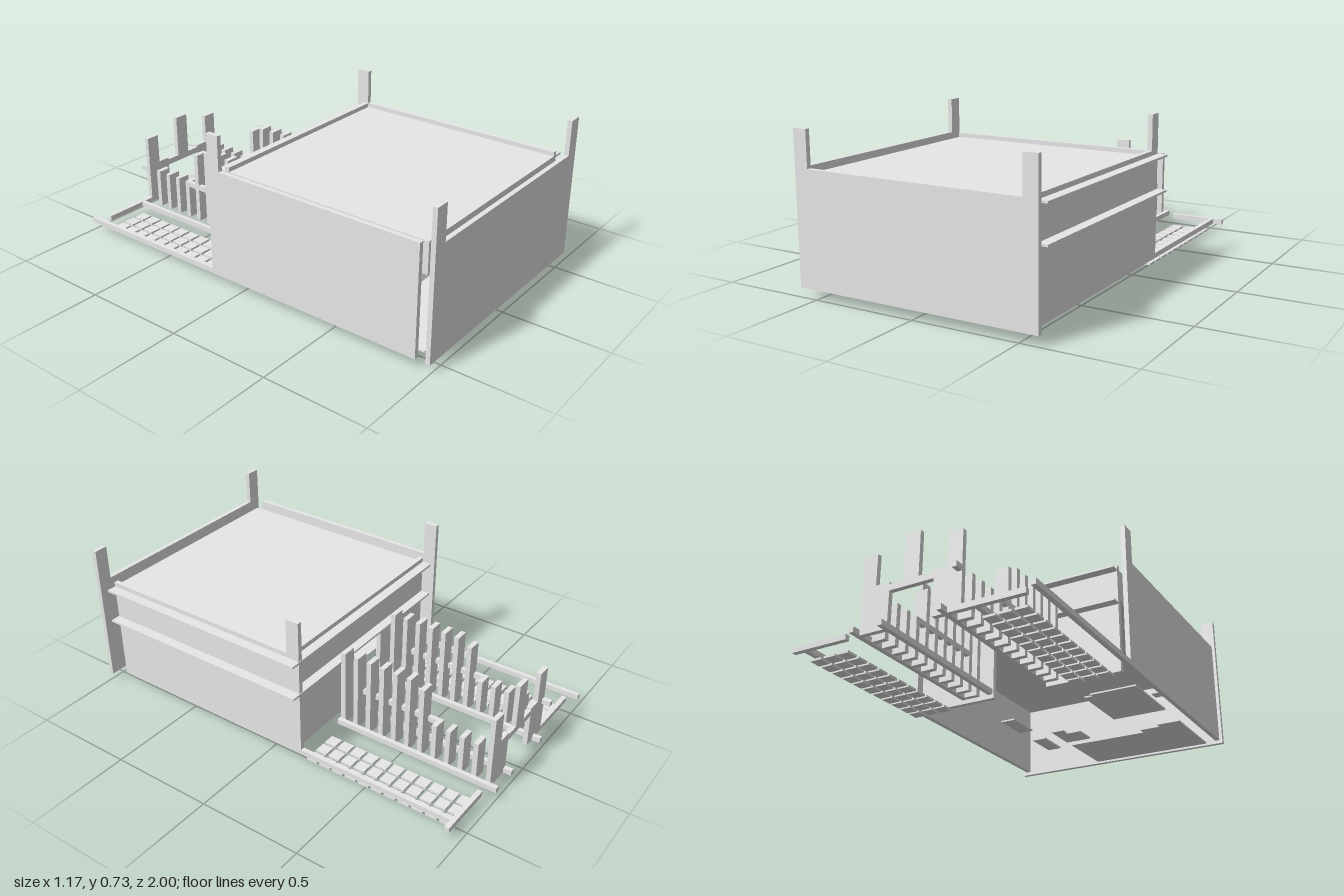
import * as THREE from 'three';

const grey = new THREE.MeshStandardMaterial({ color: 0xe8e8e8 });
grey.name = 'plainGrey';

export function createModel() {
  const model = new THREE.Group();
  model.name = 'houseKit';

  const group = (name) => {
    const g = new THREE.Group();
    g.name = name;
    model.add(g);
    return g;
  };
  // Box given by its limits on each axis
  const box = (parent, name, x0, x1, y0, y1, z0, z1) => {
    const m = new THREE.Mesh(new THREE.BoxGeometry(x1 - x0, y1 - y0, z1 - z0), grey);
    m.name = name;
    m.position.set((x0 + x1) / 2, (y0 + y1) / 2, (z0 + z1) / 2);
    parent.add(m);
  };
  // Upright plate cut from an outline, running from z0 to z1
  const plate = (parent, name, points, z0, z1) => {
    const shape = new THREE.Shape(points.map(([x, y]) => new THREE.Vector2(x, y)));
    const m = new THREE.Mesh(new THREE.ExtrudeGeometry(shape, { depth: z1 - z0, bevelEnabled: false }), grey);
    m.name = name;
    m.position.z = z0;
    parent.add(m);
  };
  // Flat plate cut from an outline of x and z
  const floor = (parent, name, points) => {
    const shape = new THREE.Shape(points.map(([x, z]) => new THREE.Vector2(x, -z)));
    const m = new THREE.Mesh(new THREE.ExtrudeGeometry(shape, { depth: 0.007, bevelEnabled: false }), grey);
    m.name = name;
    m.rotation.x = -Math.PI / 2;
    m.position.y = 0.036;
    parent.add(m);
  };

  const base = 0.043, wallTop = 0.563, postTop = 0.73, beamTop = 0.068;

  // Walls with raised corner posts
  const house = group('house');
  plate(house, 'frontWall', [
    [-0.585, base], [0.585, base], [0.585, postTop], [0.518, postTop],
    [0.518, wallTop], [-0.518, wallTop], [-0.518, postTop], [-0.585, postTop],
  ], 0.978, 1);
  box(house, 'rightWall', -0.585, -0.563, base, wallTop, -0.17, 0.93);
  box(house, 'rightPost', -0.585, -0.563, wallTop, postTop, -0.17, -0.105);
  box(house, 'leftWall', 0.516, 0.538, base, wallTop, -0.17, 0.93);
  box(house, 'leftPost', 0.516, 0.538, wallTop, postTop, -0.17, -0.105);
  box(house, 'wallBracket', -0.563, -0.528, base, beamTop, 0.18, 0.23);

  // Back wall with its doorway
  plate(house, 'backWall', [
    [-0.52, base], [-0.155, base], [-0.155, 0.36], [0.12, 0.36],
    [0.12, base], [0.516, base], [0.516, wallTop], [-0.52, wallTop],
  ], -0.128, -0.104);
  // Roof block, closed below by the ceiling
  box(house, 'roof', -0.52, 0.516, 0.395, 0.542, -0.104, 0.93);

  // Ledges along the left and back walls
  for (const y of [0.366, 0.531]) {
    box(house, 'sideLedge', 0.538, 0.585, y, y + 0.01, -0.128, 0.93);
    box(house, 'backLedge', -0.52, 0.585, y, y + 0.01, -0.173, -0.128);
  }

  // Separate floor pieces
  const floors = group('floors');
  floor(floors, 'frontFloor', [
    [-0.515, 0.93], [0.1, 0.93], [0.1, 0.62], [-0.3, 0.62],
    [-0.3, 0.58], [-0.4, 0.58], [-0.4, 0.55], [-0.515, 0.55],
  ]);
  floor(floors, 'backFloor', [
    [-0.515, 0.38], [-0.25, 0.38], [-0.25, 0.06], [-0.29, 0.06], [-0.29, 0.04], [-0.515, 0.04],
  ]);
  floor(floors, 'stepFloor', [
    [-0.03, 0.57], [0.1, 0.57], [0.1, 0.4], [0.04, 0.4], [0.04, 0.45], [-0.03, 0.45],
  ]);
  floor(floors, 'narrowFloor', [[0.17, 0.33], [0.24, 0.33], [0.24, 0.15], [0.17, 0.15]]);
  floor(floors, 'smallFloor', [[0.17, 0.63], [0.24, 0.63], [0.24, 0.46], [0.17, 0.46]]);

  // Ground beams of the yard
  const yard = group('yard');
  for (const [x0, x1, zEnd] of [
    [-0.585, -0.563, -1], [-0.31, -0.29, -0.94], [-0.177, -0.155, -1],
    [0.1, 0.122, -1], [0.238, 0.26, -1], [0.516, 0.538, -0.94],
  ]) box(yard, 'groundBeam', x0, x1, base, beamTop, zEnd, -0.17);
  box(yard, 'rightEndBeam', -0.52, -0.24, base, beamTop, -0.96, -0.937);
  box(yard, 'leftEndBeam', 0.308, 0.585, base, beamTop, -0.96, -0.937);

  // Two rows of pickets, tall beside the house and low further out
  const fence = group('fence');
  for (const x of [-0.24, 0.168]) {
    for (let i = 0; i < 11; i++) {
      const z = -0.183 - i * 0.0692;
      const top = i < 6 ? 0.425 : i === 6 ? 0.397 : 0.235;
      box(fence, 'picket', x, x + 0.065, base, top, z - 0.012, z + 0.012);
    }
    box(fence, 'fenceRail', x, x + 0.022, 0.21, 0.235, -0.68, -0.24);
  }
  box(fence, 'railStub', -0.24, -0.218, 0.21, 0.235, -1, -0.96);

  // Gate with three posts, the middle one tallest, side legs and an opening
  plate(fence, 'gate', [
    [-0.24, base], [-0.108, base], [-0.108, 0.21], [0.104, 0.21], [0.104, base], [0.24, base],
    [0.24, 0.397], [0.172, 0.397], [0.172, 0.25], [0.104, 0.25], [0.104, 0.24], [0.036, 0.24],
    [0.036, 0.45], [-0.036, 0.45], [-0.036, 0.24], [-0.108, 0.24], [-0.108, 0.25],
    [-0.172, 0.25], [-0.172, 0.397], [-0.24, 0.397],
  ], -0.96, -0.937);

  // Paving slabs on both sides
  const paving = group('paving');
  for (const side of [-1, 1])
    for (let c = 0; c < 3; c++)
      for (let r = 0; r < 11; r++) {
        const x = side * (0.344 + c * 0.069), z = -0.208 - r * 0.0692;
        box(paving, 'pavingSlab', x - 0.028, x + 0.028, 0, 0.01, z - 0.028, z + 0.028);
      }

  return model;
}
